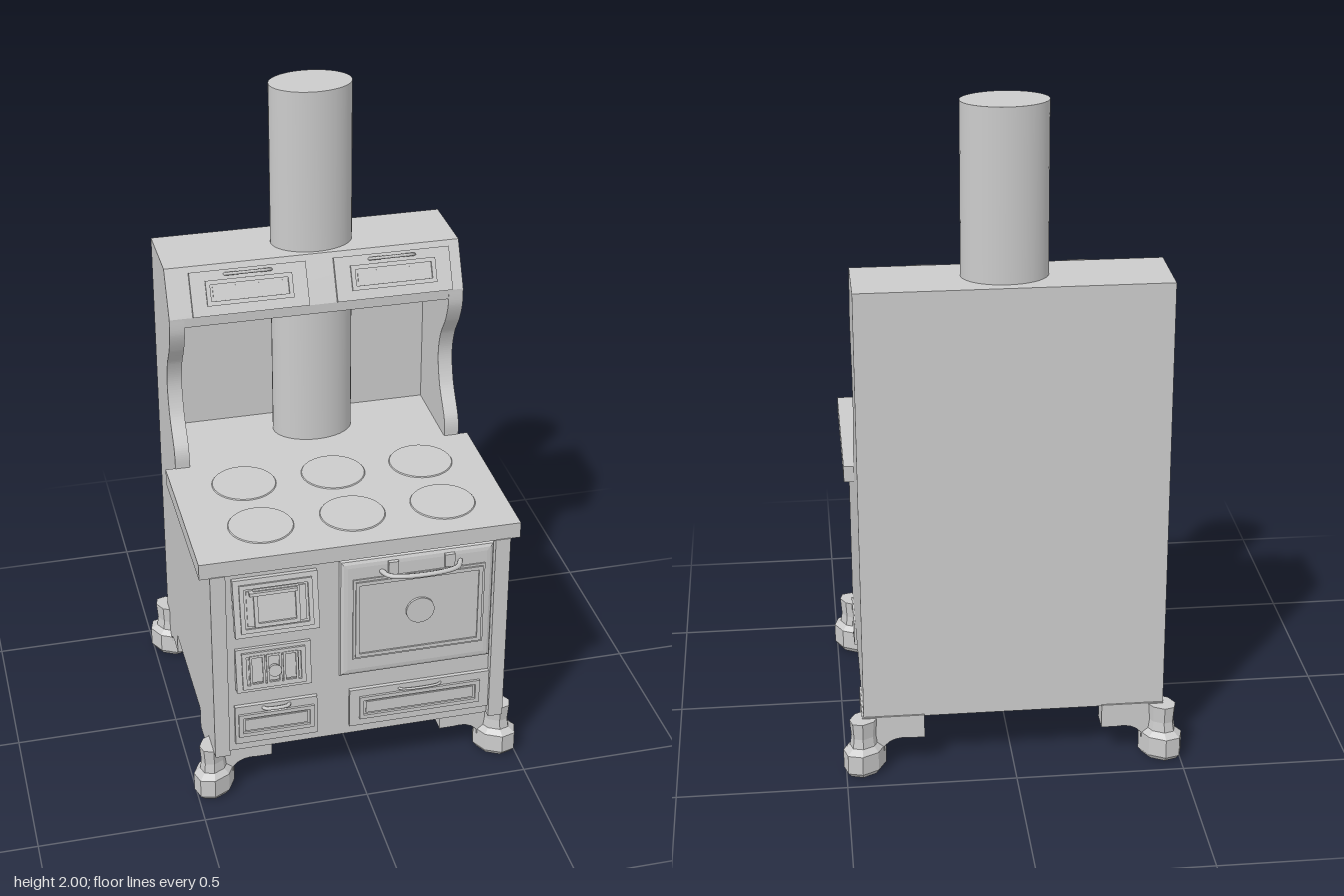
import * as THREE from 'three';

const mat = new THREE.MeshStandardMaterial({ color: 0xcccccc });
const flat = new THREE.MeshStandardMaterial({ color: 0xcccccc, flatShading: true });

function add(parent, name, geo, x = 0, y = 0, z = 0, m = mat) {
  const mesh = new THREE.Mesh(geo, m);
  mesh.name = name;
  mesh.position.set(x, y, z);
  parent.add(mesh);
  return mesh;
}

// Box given by its limits
function box(parent, name, x0, x1, y0, y1, z0, z1) {
  return add(parent, name, new THREE.BoxGeometry(x1 - x0, y1 - y0, z1 - z0),
    (x0 + x1) / 2, (y0 + y1) / 2, (z0 + z1) / 2);
}

// Extrudes a (z, y) outline across x from x0 to x1
function sideProfile(parent, name, shape, x0, x1) {
  const geo = new THREE.ExtrudeGeometry(shape, { depth: x1 - x0, bevelEnabled: false, curveSegments: 10 });
  geo.rotateY(-Math.PI / 2);
  return add(parent, name, geo, x1, 0, 0);
}

function rect(Type, w, h) {
  const p = new Type();
  p.moveTo(-w / 2, -h / 2);
  p.lineTo(w / 2, -h / 2);
  p.lineTo(w / 2, h / 2);
  p.lineTo(-w / 2, h / 2);
  p.closePath();
  return p;
}

// Rectangular rim around an opening
function rim(parent, name, w, h, border, depth, z = 0) {
  const s = rect(THREE.Shape, w, h);
  s.holes.push(rect(THREE.Path, w - 2 * border, h - 2 * border));
  return add(parent, name, new THREE.ExtrudeGeometry(s, { depth, bevelEnabled: false }), 0, 0, z);
}

// Panel with a raised rim and a raised centre plate, back resting on local z = 0
function panel(parent, name, x0, x1, y0, y1, z, tilt, iw, ih) {
  const g = new THREE.Group();
  g.name = name;
  g.position.set((x0 + x1) / 2, (y0 + y1) / 2, z);
  g.rotation.x = tilt;
  const w = x1 - x0, h = y1 - y0;
  box(g, 'panelBack', -w / 2, w / 2, -h / 2, h / 2, -0.012, 0.012);
  rim(g, 'panelRim', iw, ih, 0.013, 0.008, 0.011);
  box(g, 'panelPlate', -iw / 2 + 0.02, iw / 2 - 0.02, -ih / 2 + 0.02, ih / 2 - 0.02, 0.01, 0.016);
  parent.add(g);
  return g;
}

// Bowed pull handle with both ends on the panel
function pull(parent, w, out, y, z, r) {
  const c = new THREE.CatmullRomCurve3([[-w / 2, 0], [-w * 0.44, out * 0.65], [-w * 0.25, out],
    [w * 0.25, out], [w * 0.44, out * 0.65], [w / 2, 0]].map(([x, d]) => new THREE.Vector3(x, 0, d)));
  return add(parent, 'pullHandle', new THREE.TubeGeometry(c, 24, r, 6), 0, y, z);
}

// Bracket foot: two wings at right angles and a paw on the diagonal
function foot(parent, name, sx, sz, z) {
  const g = new THREE.Group();
  g.name = name;
  g.position.set(sx * 0.44, 0, z);
  // turn the corner so the wings point inward along both sides
  g.rotation.y = sx > 0 ? (sz > 0 ? 0 : Math.PI / 2) : (sz > 0 ? -Math.PI / 2 : Math.PI);
  const s = new THREE.Shape();
  s.moveTo(0.01, 0.175);
  s.lineTo(-0.175, 0.175);
  s.lineTo(-0.175, 0.1);
  s.lineTo(-0.13, 0.1);
  s.quadraticCurveTo(-0.07, 0.11, -0.045, 0.06);
  s.lineTo(0.01, 0.06);
  s.closePath();
  const geo = new THREE.ExtrudeGeometry(s, { depth: 0.065, bevelEnabled: false, curveSegments: 5 });
  geo.translate(0, 0, -0.055);
  add(g, 'bracketWing', geo, 0, 0, 0, flat);
  const geo2 = geo.clone();
  geo2.rotateY(-Math.PI / 2);
  geo2.translate(-0.045, 0, 0);
  add(g, 'bracketWing', geo2, 0, 0, 0, flat);
  const paw = new THREE.Group();
  paw.name = 'paw';
  paw.rotation.y = -Math.PI / 4;
  paw.scale.z = 0.75;
  const profile = [[0, 0], [0.06, 0], [0.073, 0.015], [0.073, 0.075], [0.05, 0.09], [0.045, 0.12], [0.05, 0.172], [0, 0.172]];
  add(paw, 'pawPad', new THREE.LatheGeometry(profile.map(p => new THREE.Vector2(...p)), 8), 0.005, 0, 0, flat);
  g.add(paw);
  parent.add(g);
}

export function createModel() {
  const root = new THREE.Group();
  root.name = 'cookingRange';

  // Body core, warming floor and cooktop
  box(root, 'body', -0.41, 0.405, 0.17, 0.81, -0.4, 0.405);
  box(root, 'rearShelf', -0.41, 0.405, 0.81, 0.858, -0.4, -0.11);
  box(root, 'cooktop', -0.48, 0.475, 0.81, 0.86, -0.115, 0.425);

  // Full-height side panels with a scalloped upper edge
  const side = new THREE.Shape();
  side.moveTo(-0.4, 0.17);
  side.lineTo(0.428, 0.17);
  side.lineTo(0.428, 0.812);
  side.lineTo(-0.112, 0.812);
  side.lineTo(-0.112, 0.86);
  side.splineThru([[-0.12, 0.92], [-0.18, 1.01], [-0.203, 1.1], [-0.185, 1.18], [-0.14, 1.25], [-0.115, 1.31], [-0.112, 1.365]]
    .map(p => new THREE.Vector2(...p)));
  side.lineTo(-0.178, 1.498);
  side.lineTo(-0.4, 1.498);
  side.closePath();
  sideProfile(root, 'rightSide', side, -0.45, -0.405);
  sideProfile(root, 'leftSide', side, 0.4, 0.445);
  box(root, 'backPanel', -0.41, 0.405, 0.81, 1.4, -0.4, -0.385);

  // Upper drawer case with sloping face
  const hood = new THREE.Shape([[-0.4, 1.335], [-0.113, 1.335], [-0.112, 1.365], [-0.178, 1.5], [-0.4, 1.5]]
    .map(p => new THREE.Vector2(...p)));
  sideProfile(root, 'drawerCase', hood, -0.45, 0.445);
  for (const [name, x0, x1] of [['upperRightDrawer', -0.38, -0.03], ['upperLeftDrawer', 0.055, 0.41]]) {
    const d = panel(root, name, x0, x1, 1.358, 1.49, -0.142, -0.455, 0.26, 0.075);
    pull(d, 0.14, 0.018, 0.052, 0.01, 0.005);
  }

  // Oval stove pipe
  const pipe = add(root, 'stovePipe', new THREE.CylinderGeometry(0.124, 0.124, 1.15, 40), 0.015, 1.425, -0.28);
  pipe.scale.z = 0.725;

  // Hob plates
  for (const x of [-0.265, 0.01, 0.285]) for (const z of [0.02, 0.26])
    add(root, 'hobPlate', new THREE.CylinderGeometry(0.095, 0.098, 0.004, 32), x, 0.861, z);

  // Firebox door, tilted outward at the bottom
  const fire = panel(root, 'fireboxDoor', -0.385, -0.135, 0.607, 0.788, 0.428, -0.19, 0.215, 0.15);
  rim(fire, 'doorWindow', 0.135, 0.115, 0.012, 0.012, 0.012);
  box(fire, 'doorLatch', -0.08, 0.06, 0.045, 0.055, 0.015, 0.035);

  // Draught door with slots and a knob
  const vent = panel(root, 'draughtDoor', -0.38, -0.155, 0.397, 0.54, 0.413, -0.12, 0.19, 0.12);
  for (const x of [-0.05, 0, 0.05]) rim(vent, 'ventSlot', 0.045, 0.1, 0.007, 0.006, 0.015).position.x = x;
  const knob = add(vent, 'knob', new THREE.CylinderGeometry(0.02, 0.014, 0.02, 16), 0, 0, 0.024);
  knob.rotation.x = Math.PI / 2;

  // Lower drawers
  const ash = panel(root, 'ashDrawer', -0.385, -0.135, 0.2, 0.335, 0.405, 0, 0.23, 0.08);
  pull(ash, 0.08, 0.012, 0.055, 0.01, 0.006);
  const pan = panel(root, 'panDrawer', -0.035, 0.4, 0.203, 0.335, 0.405, 0, 0.375, 0.08);
  pull(pan, 0.13, 0.012, 0.05, 0.01, 0.004);

  // Oven surround, door, gauge and bowed handle
  const oven = new THREE.Group();
  oven.name = 'oven';
  oven.position.set(0.167, 0.595, 0.405);
  root.add(oven);
  const surround = rect(THREE.Shape, 0.42, 0.36);
  add(oven, 'ovenSurround', new THREE.ExtrudeGeometry(surround,
    { depth: 0.002, bevelThickness: 0.012, bevelSize: 0.023, bevelSegments: 3 }));
  box(oven, 'ovenDoor', -0.195, 0.205, -0.14, 0.14, 0, 0.018);
  rim(oven, 'ovenDoorRim', 0.385, 0.265, 0.012, 0.006, 0.017).position.x = 0.005;
  const gauge = add(oven, 'ovenGauge', new THREE.CylinderGeometry(0.043, 0.043, 0.01, 24), 0.008, 0.008, 0.02);
  gauge.rotation.x = Math.PI / 2;
  const handle = pull(oven, 0.24, 0.047, 0.158, 0.01, 0.008);
  handle.position.x = 0.01;
  for (const x of [-0.075, 0.095]) box(oven, 'handleMount', x - 0.015, x + 0.015, 0.148, 0.19, 0.01, 0.024);

  // Four feet
  for (const sx of [-1, 1]) {
    foot(root, 'frontFoot', sx, 1, 0.355);
    foot(root, 'backFoot', sx, -1, -0.395);
  }
  return root;
}
